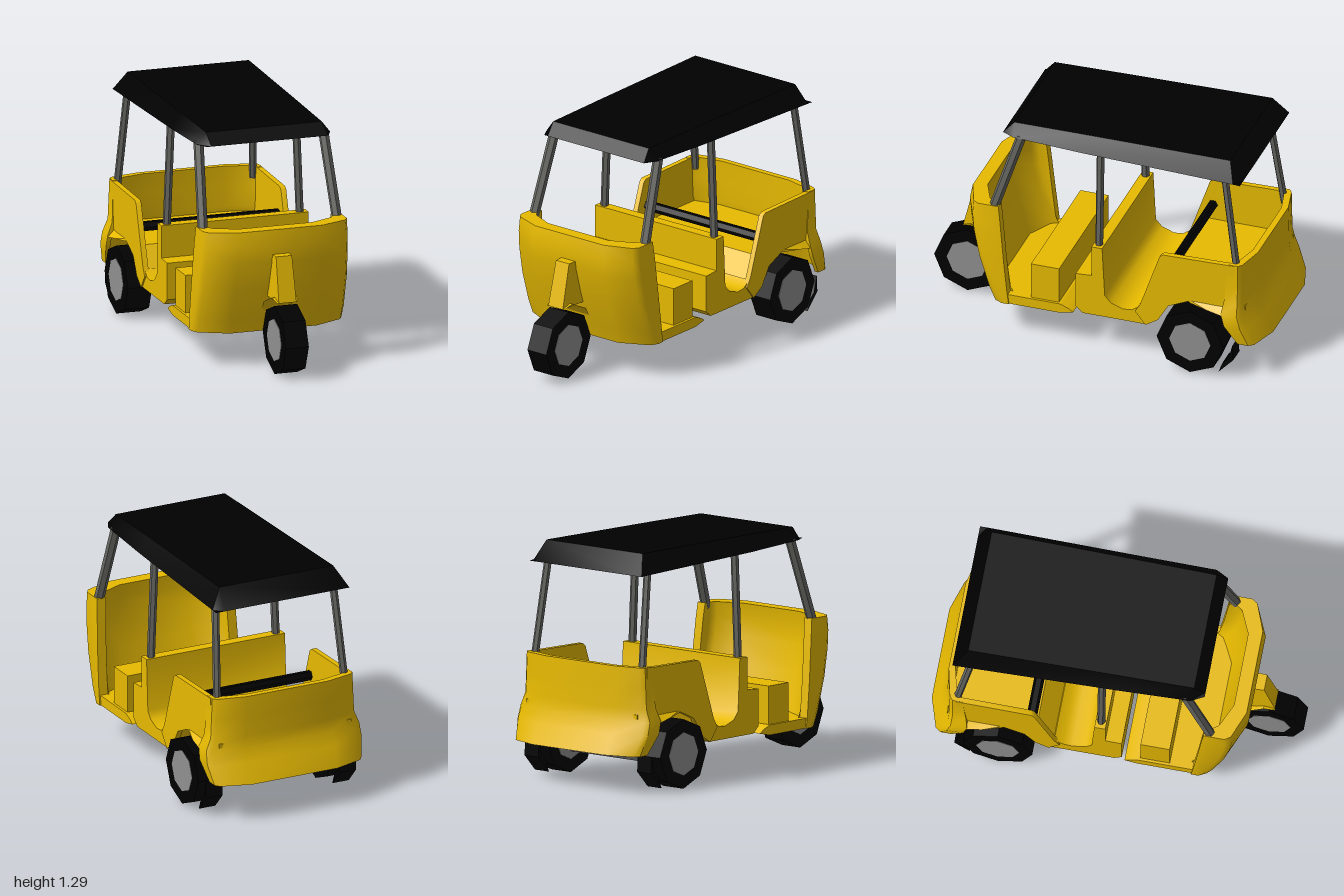
import * as THREE from 'three';
import { toCreasedNormals } from 'three/addons/utils/BufferGeometryUtils.js';

const mat = (name, color) => {
  const m = new THREE.MeshStandardMaterial({ color, side: THREE.DoubleSide });
  m.name = name;
  return m;
};

export function createModel() {
  const yellow = mat('yellow paint', 0xf8c800);
  const black = mat('black', 0x000000);
  const grey = mat('hub grey', 0x909090);
  const darkGrey = mat('post grey', 0x666662);
  const model = new THREE.Group();

  const add = (name, geo, material) => {
    const mesh = new THREE.Mesh(toCreasedNormals(geo, 0.7), material);
    mesh.name = name;
    model.add(mesh);
  };

  // Surface through rows of [x, y, z] points; ring closes each row and caps both ends
  const loft = (rows, ring = false) => {
    const n = rows[0].length, pos = rows.flat(2), idx = [];
    const quad = (a, b, c, d) => idx.push(a, b, c, a, c, d);
    for (let r = 0; r < rows.length - 1; r++) {
      for (let i = 0; i < (ring ? n : n - 1); i++) {
        const j = (i + 1) % n;
        quad(r * n + i, r * n + j, (r + 1) * n + j, (r + 1) * n + i);
      }
    }
    if (ring) {
      const top = (rows.length - 1) * n;
      for (let i = 0; i < n / 2 - 1; i++) {
        quad(n - 1 - i, n - 2 - i, i + 1, i);
        quad(top + i, top + i + 1, top + n - 2 - i, top + n - 1 - i);
      }
    }
    const g = new THREE.BufferGeometry();
    g.setAttribute('position', new THREE.Float32BufferAttribute(pos, 3));
    g.setIndex(idx);
    g.computeVertexNormals();
    return g;
  };

  // Side profile of [z, y] points, swept across x
  const sideExtrude = (pts, width, x = 0) => {
    const s = new THREE.Shape(pts.map(p => new THREE.Vector2(...p)));
    return new THREE.ExtrudeGeometry(s, { depth: width, bevelEnabled: false })
      .rotateY(-Math.PI / 2).translate(x + width / 2, 0, 0);
  };

  // Plan outline of [x, z] points, raised along y
  const planExtrude = (pts, y, height) => {
    const s = new THREE.Shape(pts.map(p => new THREE.Vector2(p[0], -p[1])));
    return new THREE.ExtrudeGeometry(s, { depth: height, bevelEnabled: false })
      .rotateX(-Math.PI / 2).translate(0, y, 0);
  };

  // U-shaped wall in plan; levels are [y, halfWidth, zEnd, zCorner, zFace]
  const uShell = (levels, t, s) => loft(levels.map(([y, hx, e, c, f]) => {
    const half = [[hx, e], [hx, c], [hx * 0.95, c + (f - c) * 0.35], [hx * 0.58, f]];
    const inner = half.map(([x, z], i) => [x - (i === 3 ? t * 0.4 : t * 0.7), i ? z - s * t : z]);
    const line = h => [...h, ...h.slice().reverse().map(([x, z]) => [-x, z])]
      .map(([x, z]) => [x, y, z]);
    return [...line(half), ...line(inner).reverse()];
  }), true);

  const rod = (name, a, b, r, material, sides = 6) => {
    const A = new THREE.Vector3(...a), B = new THREE.Vector3(...b);
    const d = B.clone().sub(A);
    const g = new THREE.CylinderGeometry(r, r, d.length(), sides);
    g.applyQuaternion(new THREE.Quaternion().setFromUnitVectors(
      new THREE.Vector3(0, 1, 0), d.normalize()));
    const m = A.add(B).multiplyScalar(0.5);
    add(name, g.translate(m.x, m.y, m.z), material);
  };

  const wheel = (name, x, z, w) => {
    const disc = (r, len) => new THREE.CylinderGeometry(r, r, len, 8)
      .rotateZ(Math.PI / 2).translate(x, 0.19, z);
    add(name + 'Tyre', disc(0.19, w), black);
    add(name + 'Hub', disc(0.118, w + 0.004), grey);
  };

  // Wheels and rear axle
  wheel('frontWheel', 0, 0.81, 0.13);
  wheel('leftRearWheel', 0.405, -0.6, 0.14);
  wheel('rightRearWheel', -0.405, -0.6, 0.14);
  rod('rearAxle', [-0.335, 0.142, -0.6], [0.335, 0.142, -0.6], 0.027, grey, 4);

  // Front cowl wrapping the driver
  add('frontCowl', uShell([
    [0.19, 0.428, 0.45, 0.49, 0.61],
    [0.27, 0.428, 0.46, 0.53, 0.635],
    [0.45, 0.424, 0.48, 0.59, 0.69],
    [0.60, 0.419, 0.495, 0.62, 0.725],
    [0.70, 0.415, 0.505, 0.63, 0.735],
    [0.78, 0.41, 0.515, 0.63, 0.72],
  ], 0.075, 1), yellow);

  // Driver floor with tapered tail, and seat box
  add('frontFloor', planExtrude([[-0.42, 0.16], [0.42, 0.16], [0.42, 0.48],
    [0.24, 0.6], [-0.24, 0.6], [-0.42, 0.48]], 0.19, 0.055), yellow);
  add('frontFloorTail', sideExtrude([[0.16, 0.245], [0.11, 0.225], [0.085, 0.207],
    [0.16, 0.19]], 0.84), yellow);
  add('driverBox', new THREE.BoxGeometry(0.81, 0.22, 0.16).translate(0, 0.345, 0.25), yellow);

  // Steering column cover and small front mudguard
  add('forkCover', loft([
    [[0.05, 0.645, 0.69], [0.045, 0.645, 0.78], [-0.045, 0.645, 0.78], [-0.05, 0.645, 0.69]],
    [[0.06, 0.4, 0.64], [0.05, 0.4, 0.84], [-0.05, 0.4, 0.84], [-0.06, 0.4, 0.64]],
  ], true), yellow);
  add('frontMudguard', loft([
    [[-0.06, 0.4, 0.84], [0.06, 0.4, 0.84]],
    [[-0.07, 0.42, 0.78], [0.07, 0.42, 0.78]],
    [[-0.085, 0.375, 0.69], [0.085, 0.375, 0.69]],
    [[-0.08, 0.28, 0.62], [0.08, 0.28, 0.62]],
  ]), yellow);

  // Middle seat, its backrest and the passenger floor
  add('middleSeatAndFloor', sideExtrude([[0.07, 0.455], [-0.02, 0.46], [-0.02, 0.64],
    [-0.08, 0.64], [-0.095, 0.35], [-0.13, 0.31], [-0.2, 0.285], [-0.25, 0.29],
    [-0.3, 0.325], [-0.35, 0.225], [-0.33, 0.215], [0.03, 0.215], [0.07, 0.25]], 0.84), yellow);

  // Rear tub: sides, fender lips, flaps
  for (const s of [1, -1]) {
    const side = s > 0 ? 'left' : 'right';
    add(side + 'RearSide', sideExtrude([[-0.27, 0.29], [-0.3, 0.34], [-0.41, 0.66],
      [-0.43, 0.675], [-0.84, 0.683], [-0.84, 0.38], [-0.8, 0.37], [-0.75, 0.4],
      [-0.57, 0.41], [-0.46, 0.36], [-0.4, 0.26], [-0.33, 0.215]], 0.03, s * 0.413), yellow);
    // Sloping fender lip above the wheel
    add(side + 'FenderLip', loft([
      [[s * 0.425, 0.42, -0.58], [s * 0.428, 0.405, -0.58]],
      [[s * 0.425, 0.42, -0.69], [s * 0.458, 0.395, -0.69]],
      [[s * 0.425, 0.42, -0.775], [s * 0.465, 0.38, -0.775]],
    ]), yellow);
    // Curved flap behind the wheel
    add(side + 'MudFlap', sideExtrude([[-0.835, 0.2], [-0.84, 0.11], [-0.755, 0.02],
      [-0.78, 0.085], [-0.81, 0.11]], 0.1, s * 0.405), black);
  }

  // Rear deck, one-piece back wall flaring into the bumper, and cross bar
  add('rearDeck', sideExtrude([[-0.28, 0.29], [-0.4, 0.43], [-0.89, 0.43],
    [-0.89, 0.405], [-0.42, 0.405], [-0.33, 0.23]], 0.8), yellow);
  add('rearWallAndBumper', uShell([
    [0.21, 0.445, -0.86, -0.92, -1.0],
    [0.32, 0.468, -0.79, -0.88, -0.95],
    [0.39, 0.464, -0.77, -0.86, -0.915],
    [0.46, 0.435, -0.78, -0.855, -0.913],
    [0.57, 0.43, -0.79, -0.855, -0.912],
    [0.685, 0.425, -0.8, -0.855, -0.91],
  ], 0.035, -1), yellow);
  rod('passengerBar', [-0.39, 0.525, -0.43], [0.39, 0.525, -0.43], 0.028, black);

  // Roof posts
  for (const s of [1, -1]) {
    const side = s > 0 ? 'left' : 'right';
    rod(side + 'FrontPost', [s * 0.383, 0.75, 0.552], [s * 0.355, 1.22, 0.4], 0.028, darkGrey);
    rod(side + 'MiddlePost', [s * 0.38, 0.6, -0.05], [s * 0.355, 1.215, -0.05], 0.022, darkGrey);
    rod(side + 'RearPost', [s * 0.388, 0.62, -0.84], [s * 0.355, 1.21, -0.755], 0.021, darkGrey);
  }

  // Roof canopy, open below; stations are lower edge then upper edge
  add('roof', loft([
    [0.405, 1.18, -0.86, 0.35, 1.18, -0.86],
    [0.405, 1.182, -0.82, 0.345, 1.292, -0.785],
    [0.39, 1.2, 0.05, 0.335, 1.285, 0.05],
    [0.382, 1.215, 0.44, 0.33, 1.28, 0.45],
    [0.345, 1.215, 0.51, 0.32, 1.215, 0.51],
  ].map(([xb, yb, zb, xt, yt, zt]) => [
    [-xb, yb, zb], [-xt, yt, zt], [xt, yt, zt], [xb, yb, zb],
  ])), black);

  return model;
}
